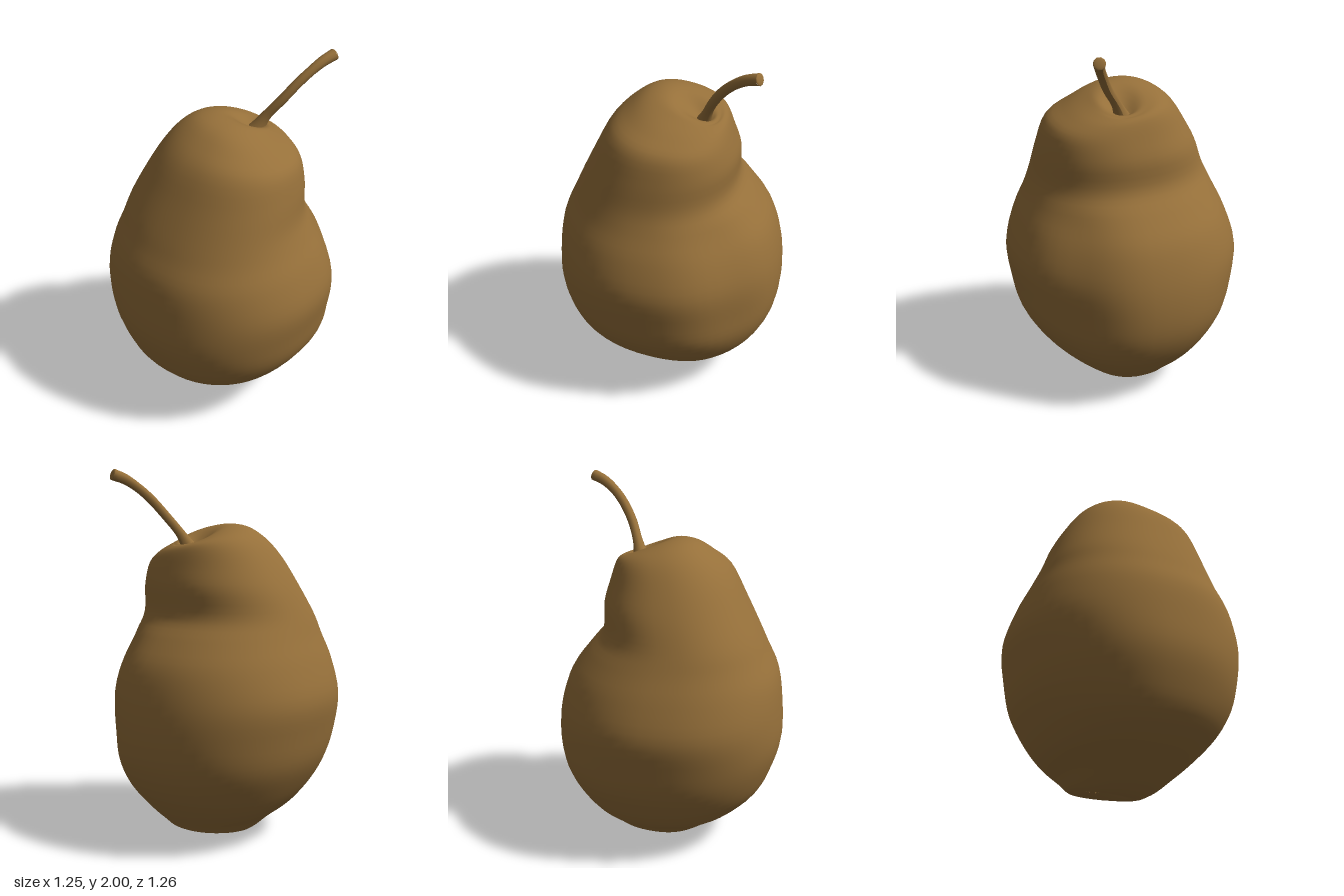
import * as THREE from 'three';

const skin = new THREE.MeshStandardMaterial({ color: 0x96703a });
skin.name = 'pearBrown';

// Fruit cross-sections: centre height, xMin, xMax, zMin, zMax, slope along x, slope along z
const SECTIONS = [
  [0.10, 0.10, 0.12, -0.10, -0.08, 0, 0],
  [0.085, 0.04, 0.19, -0.16, -0.02, 0, 0],
  [0.035, -0.05, 0.27, -0.18, 0.10, 0.20, -0.05],
  [0.05, -0.16, 0.32, -0.22, 0.20, 0.09, 0],
  [0.11, -0.28, 0.36, -0.29, 0.28, 0, 0],
  [0.20, -0.40, 0.45, -0.40, 0.38, 0, 0],
  [0.32, -0.52, 0.54, -0.49, 0.49, 0, 0],
  [0.46, -0.585, 0.60, -0.565, 0.575, 0, 0],
  [0.62, -0.625, 0.62, -0.605, 0.61, 0, 0],
  [0.80, -0.62, 0.605, -0.63, 0.63, 0, 0],
  [0.98, -0.595, 0.55, -0.58, 0.58, 0, 0],
  [1.12, -0.535, 0.45, -0.52, 0.515, 0, 0],
  [1.23, -0.485, 0.365, -0.475, 0.475, 0, 0],
  [1.38, -0.41, 0.36, -0.41, 0.45, 0, 0],
  [1.52, -0.32, 0.33, -0.33, 0.41, -0.08, 0],
  [1.61, -0.22, 0.30, -0.24, 0.32, -0.12, -0.09],
  [1.655, -0.11, 0.275, -0.15, 0.22, -0.26, -0.12],
  [1.65, 0.02, 0.25, -0.05, 0.17, -0.38, -0.12],
  [1.605, 0.13, 0.22, 0.03, 0.11, -0.1, 0],
  [1.595, 0.17, 0.19, 0.06, 0.08, 0, 0],
];

// Smoothly interpolated section at t in [0, rows - 1]
function sectionAt(t) {
  const last = SECTIONS.length - 1;
  const i = Math.min(Math.floor(t), last - 1), f = t - i;
  const row = k => SECTIONS[Math.max(0, Math.min(last, k))];
  return row(i).map((p1, c) => {
    const p0 = row(i - 1)[c], p2 = row(i + 1)[c], p3 = row(i + 2)[c];
    return p1 + 0.5 * f * (p2 - p0 + f * (2 * p0 - 5 * p1 + 4 * p2 - p3 + f * (3 * (p1 - p2) + p3 - p0)));
  });
}

// Lofted fruit: squarish rings, flattened on the front left shoulder, dimpled at both ends
function fruitGeometry(around = 56, steps = 4) {
  const rings = (SECTIONS.length - 1) * steps;
  const pos = [], index = [];
  const squash = v => Math.sign(v) * Math.abs(v) ** (2 / 2.2);
  for (let i = 0; i <= rings; i++) {
    const [y, x0, x1, z0, z1, sx, sz] = sectionAt(i / steps);
    const belly = THREE.MathUtils.smoothstep(y, 0.2, 0.6) * (1 - THREE.MathUtils.smoothstep(y, 1.0, 1.25));
    for (let j = 0; j < around; j++) {
      const a = (j / around) * Math.PI * 2;
      const flat = 1 - 0.07 * belly * Math.exp(-(((a - Math.PI / 4) / 0.4) ** 2));
      const dx = squash(Math.cos(a)) * flat * (x1 - x0) / 2;
      const dz = squash(Math.sin(a)) * flat * (z1 - z0) / 2;
      pos.push((x0 + x1) / 2 + dx, y + sx * dx + sz * dz, (z0 + z1) / 2 + dz);
      if (i < rings) {
        const p = i * around + j, q = i * around + (j + 1) % around;
        index.push(p, p + around, q, q, p + around, q + around);
      }
    }
  }
  // Close the small end rings
  const top = rings * around;
  for (let j = 1; j < around - 1; j++) index.push(0, j, j + 1, top, top + j + 1, top + j);
  const g = new THREE.BufferGeometry();
  g.setAttribute('position', new THREE.Float32BufferAttribute(pos, 3));
  g.setIndex(index);
  g.computeVertexNormals();
  return g;
}

// Stem: a curved tube, flared at the root and at the cut tip
const stemPath = new THREE.CatmullRomCurve3([
  [0.175, 1.57, 0.07], [0.205, 1.66, 0.115], [0.25, 1.76, 0.185], [0.31, 1.85, 0.24],
  [0.37, 1.91, 0.28], [0.43, 1.95, 0.31], [0.49, 1.972, 0.335],
].map(p => new THREE.Vector3(...p)));

function stemGeometry(segments = 24, sides = 10) {
  const g = new THREE.TubeGeometry(stemPath, segments, 1, sides);
  const p = g.attributes.position, v = new THREE.Vector3();
  for (let i = 0; i < p.count; i++) {
    const t = Math.floor(i / (sides + 1)) / segments;
    const c = stemPath.getPointAt(t);
    const r = 0.025 + 0.025 * Math.max(0, 1 - t * 4) ** 2 + 0.006 * Math.max(0, t * 4 - 3);
    v.fromBufferAttribute(p, i).sub(c).multiplyScalar(r).add(c);
    p.setXYZ(i, v.x, v.y, v.z);
  }
  g.computeVertexNormals();
  return g;
}

export function createModel() {
  const pear = new THREE.Group();
  pear.name = 'pear';
  const add = (name, geometry, parent = pear) => {
    const m = new THREE.Mesh(geometry, skin);
    m.name = name;
    parent.add(m);
    return m;
  };

  add('fruit', fruitGeometry());
  add('stem', stemGeometry());

  // Cut face of the stem
  const tip = add('stemTip', new THREE.SphereGeometry(0.031, 10, 6, 0, Math.PI * 2, 0, Math.PI / 2));
  tip.scale.y = 0.25;
  tip.position.copy(stemPath.getPointAt(1));
  tip.quaternion.setFromUnitVectors(new THREE.Vector3(0, 1, 0), stemPath.getTangentAt(1));

  // Dried blossom leaves in the bottom dimple
  const calyx = new THREE.Group();
  calyx.name = 'calyx';
  calyx.position.set(0.115, 0.09, -0.09);
  pear.add(calyx);
  for (let i = 0; i < 7; i++) {
    const a = (i / 7) * Math.PI * 2;
    const leaf = add('calyxLeaf', new THREE.ConeGeometry(0.014, 0.06, 4), calyx);
    leaf.position.set(Math.cos(a) * 0.05, -0.02, Math.sin(a) * 0.05);
    leaf.quaternion.setFromUnitVectors(new THREE.Vector3(0, 1, 0),
      new THREE.Vector3(-Math.cos(a) * 0.7, -0.7, -Math.sin(a) * 0.7).normalize());
  }
  return pear;
}
